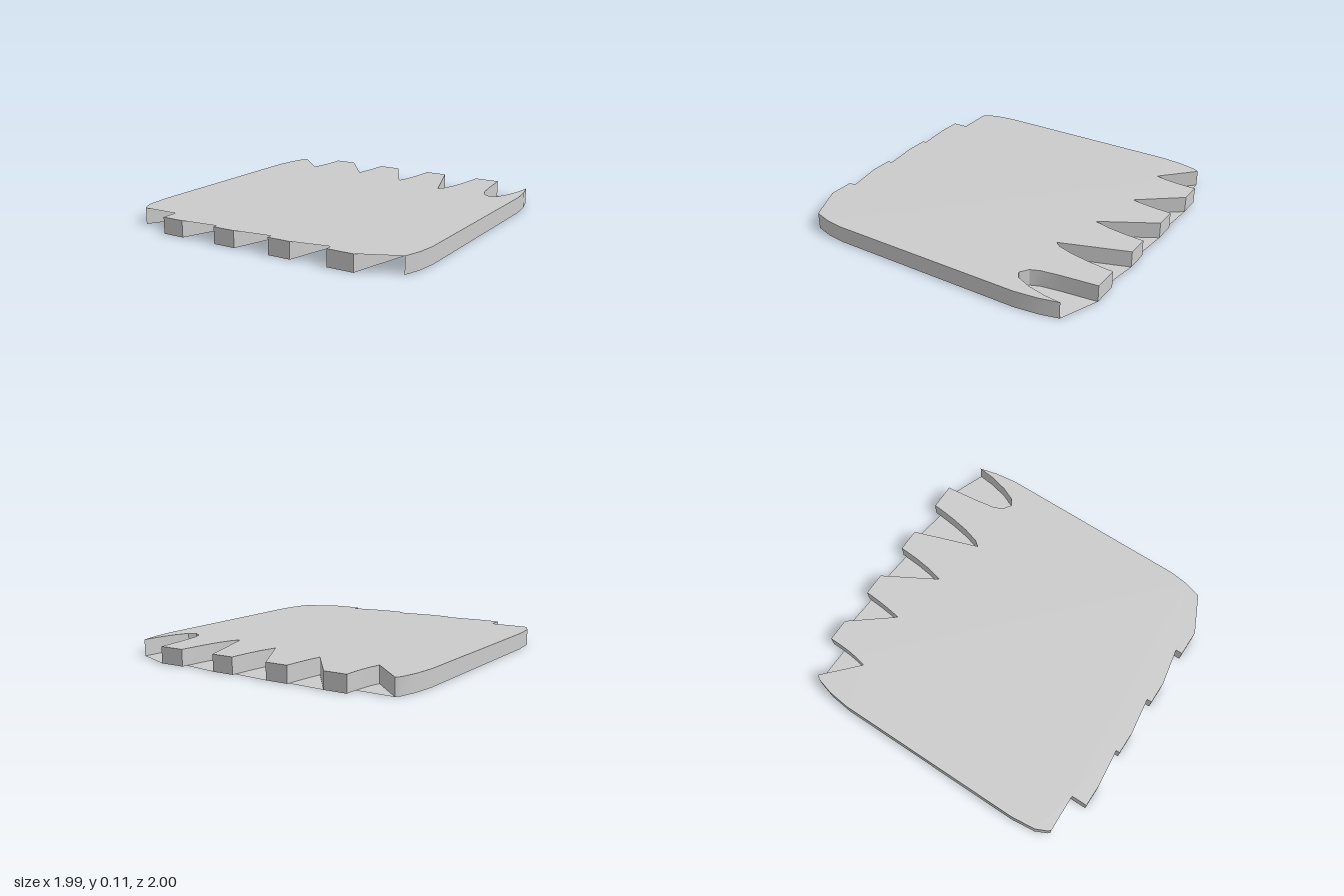
import * as THREE from 'three';
import { toCreasedNormals } from 'three/addons/utils/BufferGeometryUtils.js';

const H = 0.107; // plate thickness

// Back notches, left to right: [x, z] from one tooth tip to the next
const backNotches = [
  [[-0.93, -0.918], [-0.71, -0.71], [-0.693, -0.79], [-0.685, -0.86], [-0.682, -0.915]],
  [[-0.53, -1], [-0.31, -0.72], [-0.297, -0.81], [-0.287, -0.9], [-0.282, -0.985]],
  [[-0.13, -1], [0.07, -0.65], [0.095, -0.75], [0.11, -0.86], [0.118, -0.978]],
  [[0.27, -1], [0.42, -0.57], [0.45, -0.61], [0.48, -0.71], [0.503, -0.84], [0.517, -0.965]],
  [[0.69, -1], [0.715, -0.78], [0.735, -0.65], [0.76, -0.59], [0.815, -0.553],
    [0.86, -0.58], [0.9, -0.67], [0.93, -0.79], [0.942, -0.9]],
];

// Front notches: straight flank, short floor, then a curved flank
const frontNotch = (xa, za, xb, zb, depth) => {
  const pts = [[xa, za], [xa + 0.1, depth + 0.015], [xa + 0.145, depth]];
  const steps = 6;
  for (let i = 1; i <= steps; i++) {
    const a = (i / steps) * Math.PI / 2;
    pts.push([
      xa + 0.145 + (xb - xa - 0.145) * Math.sin(a),
      depth + (zb - depth) * (1 - Math.cos(a)),
    ]);
  }
  return pts;
};
const frontNotches = [
  frontNotch(-0.93, 0.9, -0.682, 0.895, 0.71),
  frontNotch(-0.53, 1, -0.282, 0.975, 0.71),
  frontNotch(-0.13, 1, 0.118, 0.968, 0.65),
  frontNotch(0.27, 1, 0.517, 0.955, 0.58),
  frontNotch(0.69, 1, 0.94, 0.885, 0.56),
];

// One toothed edge, left to right; filled edges bridge each notch
function toothedEdge(notches, tipZ, filled) {
  return notches.flatMap((n, i) => {
    const last = n[n.length - 1];
    const pts = filled ? [n[0], last] : [...n];
    if (i < notches.length - 1) pts.push([last[0] + 0.001, tipZ]);
    return pts;
  });
}

// Full outline: front edge, left side, back edge reversed, right side
function outline(frontFilled, backFilled) {
  return [
    ...toothedEdge(frontNotches, 1, frontFilled),
    [0.975, 0.77], [0.99, 0.65], [0.99, -0.63], [0.972, -0.78],
    ...toothedEdge(backNotches, -1, backFilled).reverse(),
    [-0.95, -0.89], [-0.98, -0.78], [-0.997, -0.63],
    [-0.997, 0.65], [-0.98, 0.81], [-0.945, 0.885],
  ];
}

// Flat cap facing up (dir = 1) or down (dir = -1)
function cap(points, dir, y) {
  const shape = new THREE.Shape(points.map(([x, z]) => new THREE.Vector2(x, -dir * z)));
  return new THREE.ShapeGeometry(shape).rotateX(-dir * Math.PI / 2).translate(0, y, 0);
}

// Vertical wall following the outline
function wall(points) {
  const pos = [];
  points.forEach(([x0, z0], i) => {
    const [x1, z1] = points[(i + 1) % points.length];
    pos.push(x0, 0, z0, x1, 0, z1, x1, H, z1, x0, 0, z0, x1, H, z1, x0, H, z0);
  });
  const g = new THREE.BufferGeometry();
  g.setAttribute('position', new THREE.Float32BufferAttribute(pos, 3));
  g.computeVertexNormals();
  return toCreasedNormals(g, Math.PI / 7);
}

export function createModel() {
  const group = new THREE.Group();
  group.name = 'toothedPlate';
  const material = new THREE.MeshStandardMaterial({ color: 0xcccccc, side: THREE.DoubleSide });
  const add = (name, geometry) => {
    const mesh = new THREE.Mesh(geometry, material);
    mesh.name = name;
    group.add(mesh);
  };
  // The top covers the front notches, the bottom covers the back ones
  add('topFace', cap(outline(true, false), 1, H));
  add('bottomFace', cap(outline(false, true), -1, 0));
  add('edgeWall', wall(outline(false, false)));
  return group;
}
